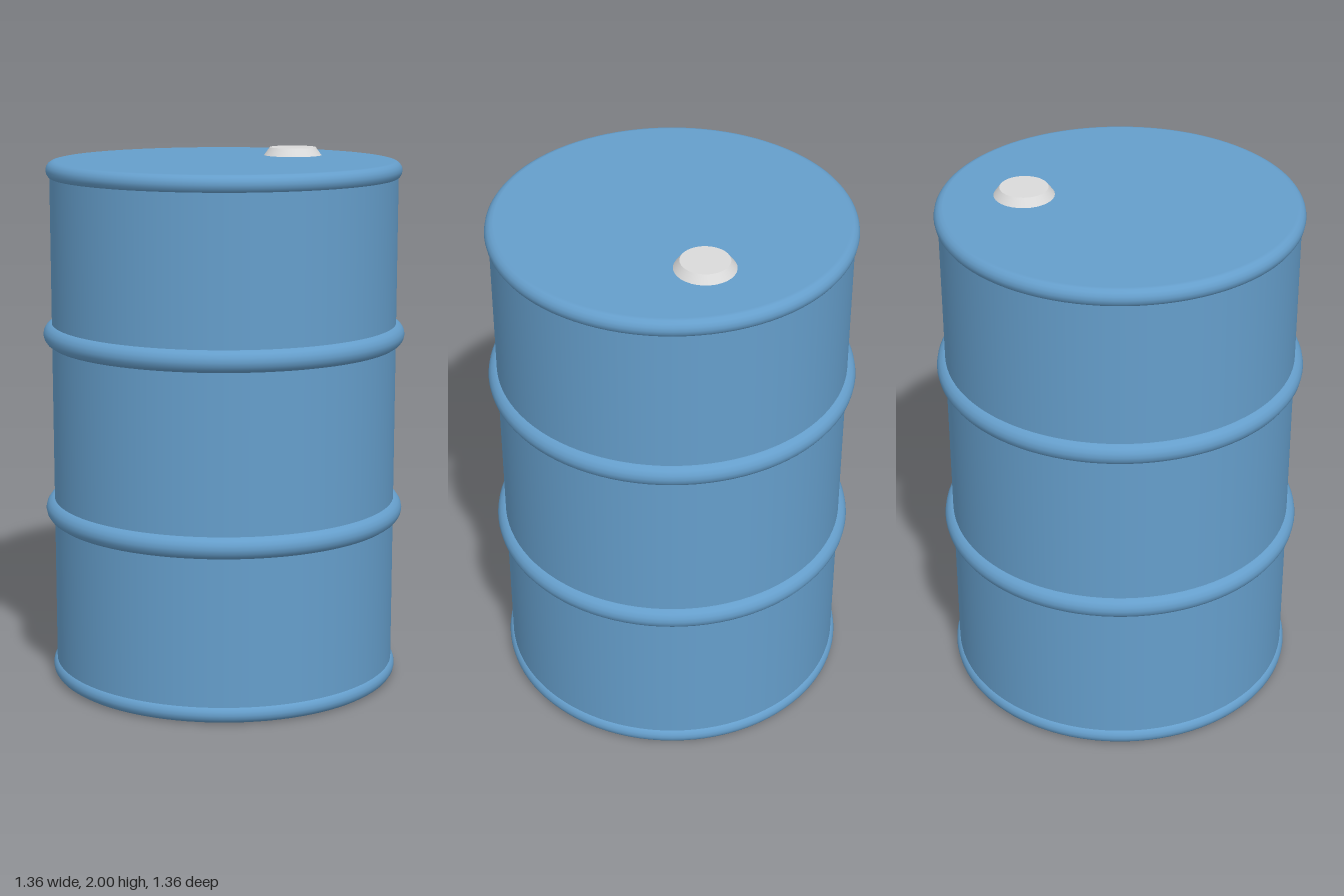
import * as THREE from 'three';

const blue = new THREE.MeshStandardMaterial({ color: 0x659ecb });
blue.name = 'blue paint';
const grey = new THREE.MeshStandardMaterial({ color: 0xdadada });
grey.name = 'light grey metal';

const SEGMENTS = 96;

export function createModel() {
  const drum = new THREE.Group();
  drum.name = 'drum';

  const add = (name, geometry, material, x, y) => {
    const mesh = new THREE.Mesh(geometry, material);
    mesh.name = name;
    mesh.position.set(x, y, 0);
    drum.add(mesh);
    return mesh;
  };

  // Rolled ring lying flat around the drum
  const ring = (name, outerRadius, tube, y) => {
    const geometry = new THREE.TorusGeometry(outerRadius - tube, tube, 16, SEGMENTS);
    geometry.rotateX(Math.PI / 2);
    add(name, geometry, blue, 0, y);
  };

  // Straight wall
  add('wall', new THREE.CylinderGeometry(0.648, 0.648, 1.9, SEGMENTS, 1, true), blue, 0, 0.985);

  // Flat ends, level with the rolled rims
  const disc = (name, y, turn) => {
    const geometry = new THREE.CircleGeometry(0.63, SEGMENTS);
    geometry.rotateX(turn);
    add(name, geometry, blue, 0, y);
  };
  disc('lid', 1.97, -Math.PI / 2);
  disc('base', 0, Math.PI / 2);

  // End rims and rolling hoops
  ring('topRim', 0.662, 0.034, 1.936);
  ring('bottomRim', 0.662, 0.034, 0.034);
  ring('upperHoop', 0.68, 0.042, 1.325);
  ring('lowerHoop', 0.68, 0.042, 0.655);

  // Filler cap with a bevelled edge
  add('fillerCap', new THREE.CylinderGeometry(0.088, 0.11, 0.03, 32), grey, 0.347, 1.985);

  return drum;
}
